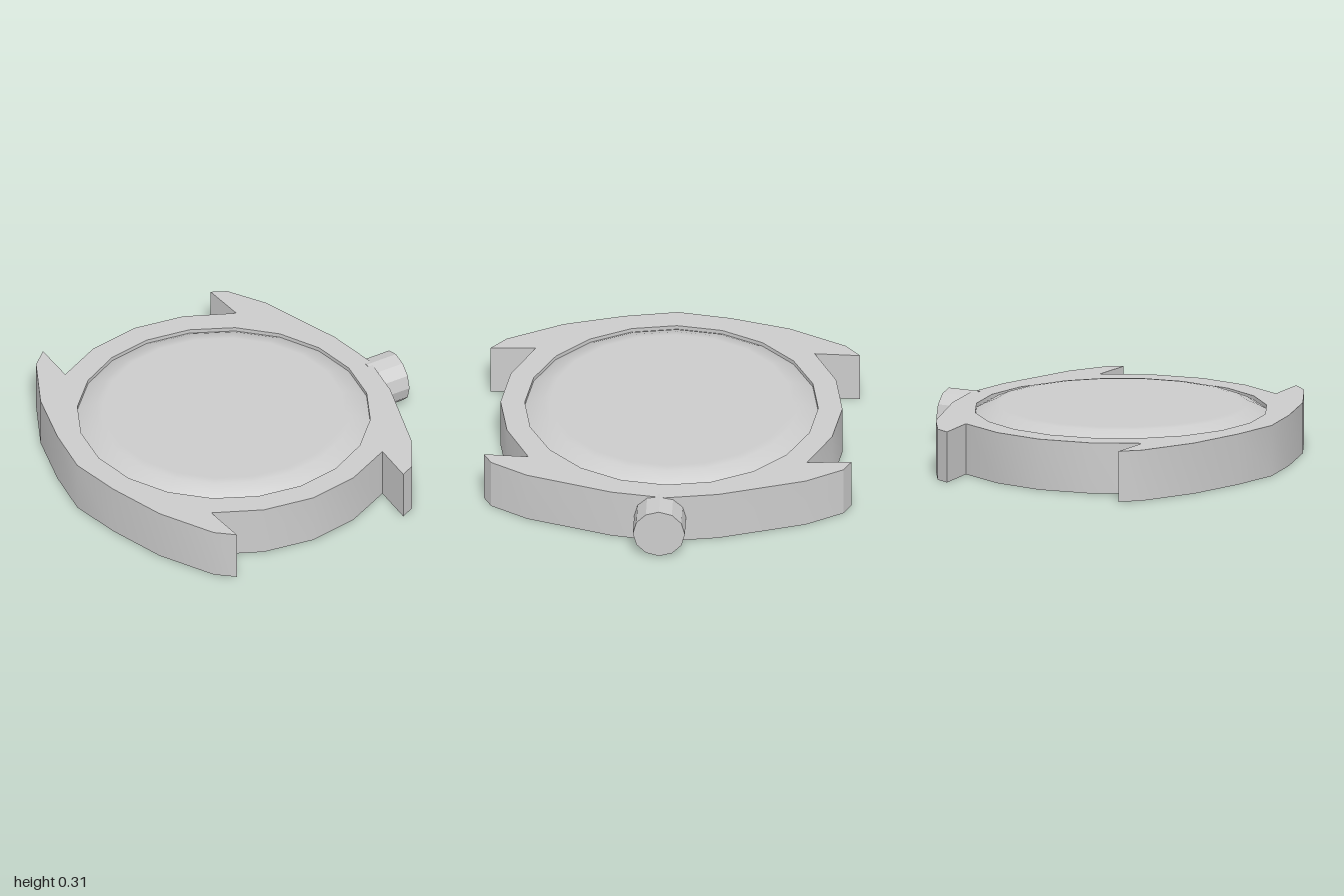
import * as THREE from 'three';
import { toCreasedNormals } from 'three/addons/utils/BufferGeometryUtils.js';

const CX = -0.075;      // centre of the round case
const CASE_H = 0.278;   // height of the case
const DIAL_R = 0.79;    // radius of the opening
const SIDES = 20;

export function createModel() {
  const group = new THREE.Group();
  const material = new THREE.MeshStandardMaterial({ color: 0xcccccc });
  const add = (name, geometry, x = 0, y = 0, z = 0) => {
    const mesh = new THREE.Mesh(geometry, material);
    mesh.name = name;
    mesh.position.set(x, y, z);
    group.add(mesh);
  };

  // Case with four lugs: half outline from right to left, mirrored to the other half
  const half = [
    [0.845, 0], [0.8, 0.287], [0.65, 0.75], [0.53, 0.948], [0.45, 0.99],
    [0.465, 0.75], [0.205, 0.875], [CX, 0.92], [-0.36, 0.875], [-0.615, 0.75],
    [-0.605, 0.995], [-0.7, 0.912], [-0.857, 0.61], [-0.95, 0.287], [-1, 0],
  ];
  const mirrored = half.slice(1, -1).reverse().map(([x, y]) => [x, -y]);
  const outline = new THREE.Shape([...half, ...mirrored].map(([x, y]) => new THREE.Vector2(x, y)));

  // Round opening for the crystal
  const opening = [];
  for (let i = 0; i < SIDES; i++) {
    const a = (-i / SIDES) * Math.PI * 2;
    opening.push(new THREE.Vector2(CX + DIAL_R * Math.cos(a), DIAL_R * Math.sin(a)));
  }
  outline.holes.push(new THREE.Path(opening));
  const body = new THREE.ExtrudeGeometry(outline, { depth: CASE_H, bevelEnabled: false });
  body.rotateX(-Math.PI / 2);
  add('case', toCreasedNormals(body, 0.5));

  // Back plate closing the opening from below
  const back = new THREE.CircleGeometry(DIAL_R, SIDES);
  back.rotateX(Math.PI / 2);
  add('backPlate', back, CX);

  // Slightly domed crystal, sunk a little below the case rim
  const profile = [[DIAL_R, 0.256], [0.75, 0.279], [0.69, 0.304], [0.65, 0.31], [0, 0.311]];
  const crystal = new THREE.LatheGeometry(profile.map(([r, y]) => new THREE.Vector2(r, y)), SIDES);
  add('crystal', crystal, CX);

  // Winding crown on the side
  const crown = new THREE.CylinderGeometry(0.14, 0.14, 0.185, 12);
  crown.rotateZ(-Math.PI / 2);
  add('crown', toCreasedNormals(crown, 0.4), 0.9025, 0.142, 0.027);

  return group;
}
